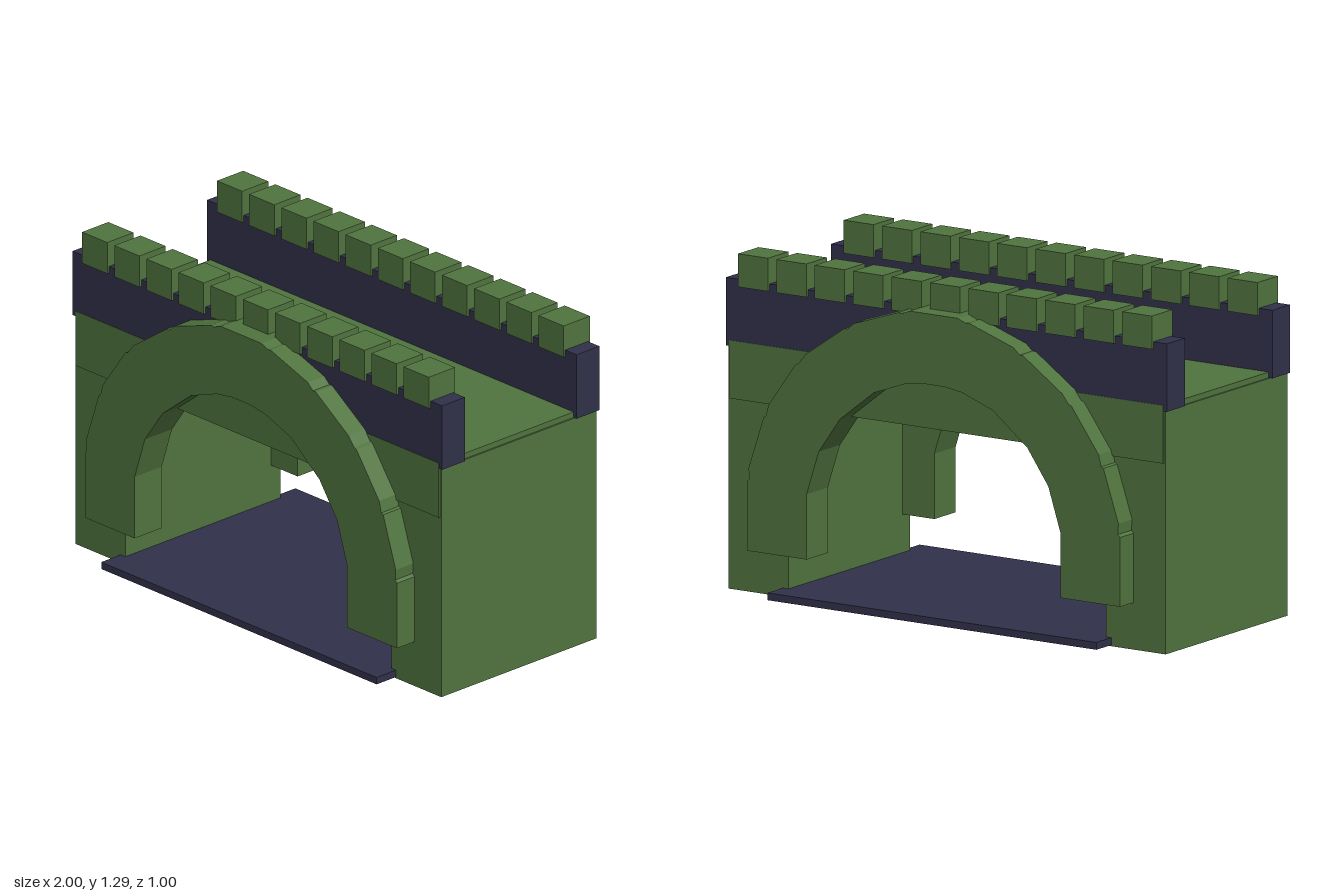
import * as THREE from 'three';

export function createModel() {
  const model = new THREE.Group();
  model.name = 'archBridge';
  const green = new THREE.MeshStandardMaterial({ name: 'mossGreen', color: 0x50743f });
  const dark = new THREE.MeshStandardMaterial({ name: 'darkSlate', color: 0x31314a });

  // Box given by its extents on each axis
  function box(name, material, [x0, x1], [y0, y1], [z0, z1]) {
    const mesh = new THREE.Mesh(new THREE.BoxGeometry(x1 - x0, y1 - y0, z1 - z0), material);
    mesh.position.set((x0 + x1) / 2, (y0 + y1) / 2, (z0 + z1) / 2);
    mesh.name = name;
    model.add(mesh);
  }

  // Road slab under the arch and the deck above it
  box('road', dark, [-0.745, 0.745], [0.005, 0.033], [-0.5, 0.5]);
  box('deck', green, [-0.983, 0.983], [0.73, 0.952], [-0.407, 0.407]);

  // End piers
  box('leftPier', green, [0.72, 0.99], [0, 0.93], [-0.4, 0.4]);
  box('rightPier', green, [-0.99, -0.72], [0, 0.93], [-0.4, 0.4]);

  // Half outlines of the arch ring, from foot to crown, with small steps at the joints
  const outer = [[0.845, 0.18], [0.845, 0.445], [0.835, 0.455], [0.838, 0.497], [0.77, 0.7],
    [0.76, 0.705], [0.748, 0.75], [0.625, 0.92], [0.612, 0.925], [0.582, 0.963],
    [0.405, 1.085], [0.39, 1.085], [0.362, 1.11], [0.16, 1.178], [0.145, 1.176], [0.11, 1.19]];
  const inner = [[0.575, 0.18], [0.575, 0.43], [0.52, 0.6], [0.425, 0.735], [0.27, 0.857],
    [0.13, 0.908], [0.05, 0.92]];
  const mirror = (pts) => pts.map(([x, y]) => [-x, y]).reverse();
  const ring = [...outer, ...mirror(outer), ...mirror(inner).reverse(), ...[...inner].reverse()];
  const archShape = new THREE.Shape(ring.map(([x, y]) => new THREE.Vector2(x, y)));
  const archGeometry = new THREE.ExtrudeGeometry(archShape, { depth: 0.14, bevelEnabled: false });

  for (const [side, s] of [['front', 1], ['back', -1]]) {
    const span = (a, b) => (s > 0 ? [a, b] : [-b, -a]);

    const arch = new THREE.Mesh(archGeometry, green);
    arch.name = side + 'Arch';
    arch.position.z = s > 0 ? 0.35 : -0.49;
    model.add(arch);

    // Parapet wall topped by a row of blocks
    box(side + 'Parapet', dark, [-1, 1], [0.93, 1.19], span(0.288, 0.405));
    for (let i = 0; i < 11; i++) {
      const x = (i - 5) * 0.174;
      box(side + 'Merlon' + (i + 1), green, [x - 0.068, x + 0.068], [1.163, 1.29], span(0.28, 0.415));
    }
  }
  return model;
}
